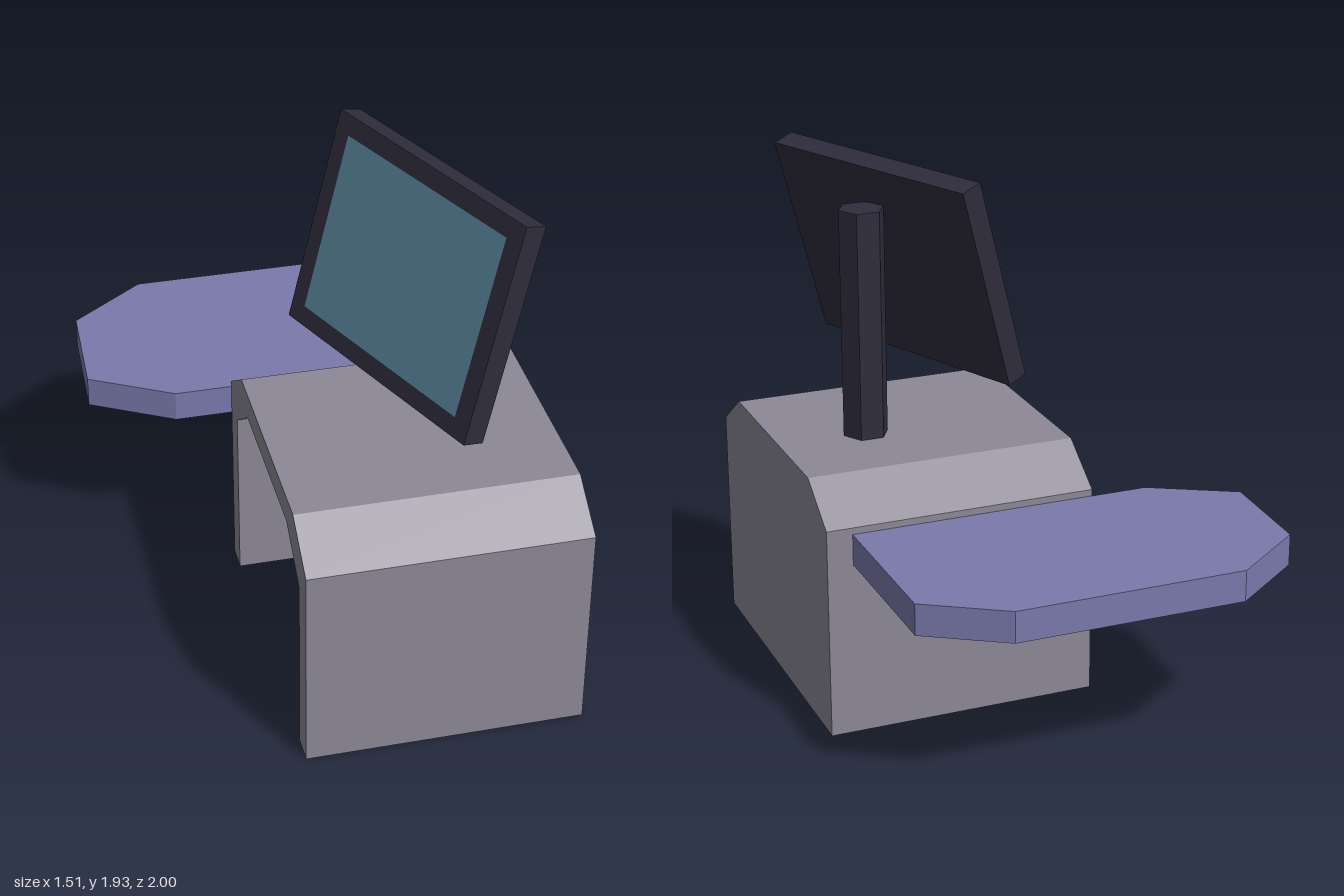
import * as THREE from 'three';

const material = (color, extra = {}) => new THREE.MeshStandardMaterial({ color, flatShading: true, ...extra });
const polygon = (points) => new THREE.Shape(points.map(([x, y]) => new THREE.Vector2(x, y)));

function addMesh(parent, name, geometry, mat) {
  const mesh = new THREE.Mesh(geometry, mat);
  mesh.name = name;
  parent.add(mesh);
  return mesh;
}

export function createModel() {
  const model = new THREE.Group();
  const shell = material(0x8c8896, { side: THREE.DoubleSide });
  const top = material(0x7a79ac);
  const dark = material(0x2f2c3c);
  const glass = material(0x5a889e);

  // Pedestal: chamfered arch profile (z, y) swept across x
  const outer = [[1, 0], [1, 0.79], [0.81, 0.92], [-0.02, 0.92], [-0.21, 0.79], [-0.21, 0]];
  const inner = [[0.9, 0], [0.9, 0.68], [0.71, 0.82], [0.08, 0.82], [-0.11, 0.68], [-0.11, 0]];
  const pedestal = new THREE.Group();
  pedestal.name = 'pedestal';
  pedestal.rotation.y = -Math.PI / 2;
  pedestal.position.x = 0.755;
  model.add(pedestal);
  const arch = polygon([...outer, ...[...inner].reverse()]);
  addMesh(pedestal, 'archShell', new THREE.ExtrudeGeometry(arch, { depth: 1.005, bevelEnabled: false }), shell);

  // Closed side of the arch: outer panel and recessed inner panel
  [['sidePanel', 0], ['innerPanel', 0.21]].forEach(([name, depth]) => {
    addMesh(pedestal, name, new THREE.ShapeGeometry(polygon(inner)), shell).position.z = depth;
  });

  // Counter slab behind the pedestal, outline in (x, z)
  const outline = [[-0.46, -1], [0.38, -1], [0.66, -0.82], [0.66, -0.21], [-0.46, -0.21], [-0.76, -0.38], [-0.74, -0.79]];
  const slab = new THREE.ExtrudeGeometry(polygon(outline), { depth: 0.115, bevelEnabled: false });
  slab.rotateX(Math.PI / 2);
  addMesh(model, 'counterTop', slab, top).position.y = 0.765;

  // Six-sided post
  const post = new THREE.CylinderGeometry(0.085, 0.085, 0.85, 6).rotateY(Math.PI / 6);
  addMesh(model, 'post', post, dark).position.set(0.42, 1.345, 0.32);

  // Monitor, turned and leaning back against the post
  const monitor = new THREE.Group();
  monitor.name = 'monitor';
  monitor.position.set(0.2525, 1.5475, 0.3985);
  monitor.rotation.set(-0.29, -1.176, 0, 'YXZ');
  model.add(monitor);
  addMesh(monitor, 'monitorCase', new THREE.BoxGeometry(0.988, 0.783, 0.085), dark);
  addMesh(monitor, 'display', new THREE.PlaneGeometry(0.845, 0.647), glass).position.z = 0.0445;

  return model;
}
